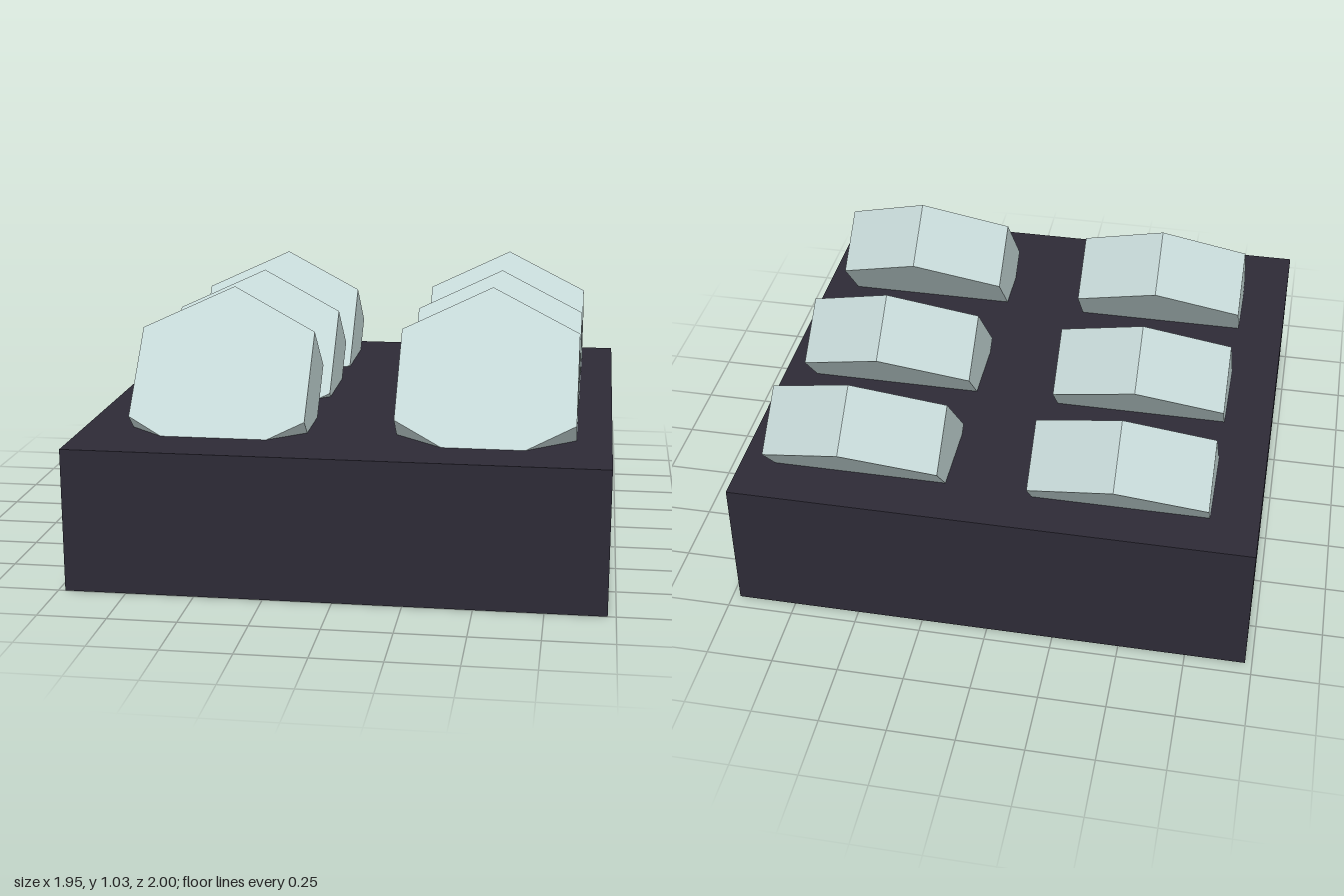
import * as THREE from 'three';

export function createModel() {
  const model = new THREE.Group();
  model.name = 'hexKeyBlock';
  const baseMat = new THREE.MeshStandardMaterial({ color: 0x2d2a36, flatShading: true });
  const keyMat = new THREE.MeshStandardMaterial({ color: 0xc5d8d7, flatShading: true });

  // Dark rectangular base
  const base = new THREE.Mesh(new THREE.BoxGeometry(1.945, 0.53, 1.945), baseMat);
  base.name = 'base';
  base.position.set(-0.002, 0.265, 0.027);
  model.add(base);

  // Hexagonal prisms, leaning back and sunk into the base, two columns of three
  const prismGeo = new THREE.CylinderGeometry(0.378, 0.378, 0.259, 6);
  const tilt = THREE.MathUtils.degToRad(48.6);
  const columns = [
    { side: 'left', x: 0.515, drop: 0 },
    { side: 'right', x: -0.467, drop: 0.02 },
  ];
  const rows = [
    { place: 'Front', y: 0.663, z: 0.506 },
    { place: 'Middle', y: 0.624, z: -0.094 },
    { place: 'Back', y: 0.612, z: -0.65 },
  ];
  for (const { side, x, drop } of columns) {
    for (const { place, y, z } of rows) {
      const prism = new THREE.Mesh(prismGeo, keyMat);
      prism.name = `${side}${place}Hexagon`;
      prism.position.set(x, y - drop, z);
      prism.rotation.x = tilt;
      model.add(prism);
    }
  }
  return model;
}
